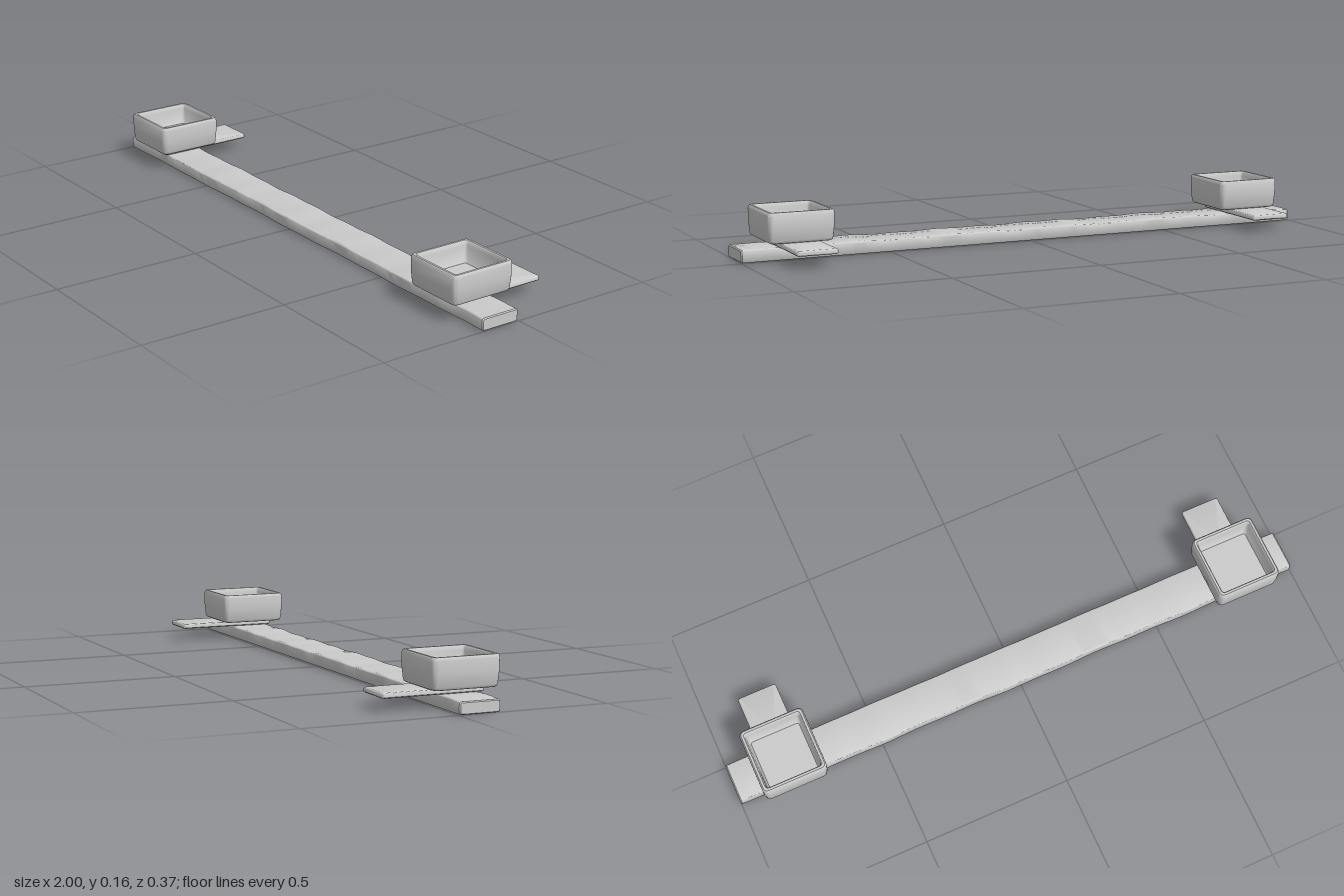
import * as THREE from 'three';
import { toCreasedNormals } from 'three/addons/utils/BufferGeometryUtils.js';

const material = new THREE.MeshStandardMaterial({ color: 0xcccccc });
const CORNER_STEPS = 4;

// Rounded-rectangle cross-section lying at height y.
function ring({ w, d, r, y, x = 0, z = 0 }) {
  const points = [];
  for (let c = 0; c < 4; c++) {
    const sx = c === 0 || c === 3 ? 1 : -1;
    const sz = c < 2 ? 1 : -1;
    for (let i = 0; i <= CORNER_STEPS; i++) {
      const a = (c + i / CORNER_STEPS) * Math.PI / 2;
      points.push([
        x + sx * (w / 2 - r) + r * Math.cos(a), y,
        z + sz * (d / 2 - r) + r * Math.sin(a),
      ]);
    }
  }
  return points;
}

// Skin over a stack of cross-sections; the first and last are closed to a centre.
function loft(sections, crease = 0.6) {
  const cap = (s) => ({ ...s, w: 0.0004, d: 0.0004, r: 0.0001 });
  const rings = [cap(sections[0]), ...sections, cap(sections.at(-1))].map(ring);
  const n = rings[0].length;
  const index = [];
  for (let k = 0; k < rings.length - 1; k++) {
    for (let i = 0; i < n; i++) {
      const a = k * n + i, b = k * n + (i + 1) % n;
      index.push(a, a + n, b, b, a + n, b + n);
    }
  }
  const geometry = new THREE.BufferGeometry();
  geometry.setAttribute('position', new THREE.Float32BufferAttribute(rings.flat(2), 3));
  geometry.setIndex(index);
  return toCreasedNormals(geometry, crease);
}

function part(name, geometry) {
  const mesh = new THREE.Mesh(geometry, material);
  mesh.name = name;
  return mesh;
}

// Long plank with gently uneven, worn edges, lofted along its length.
function plankGeometry() {
  const sections = [];
  const steps = 90;
  const section = (t, inset) => {
    const wear = 0.0012 * Math.sin(t * 17) + 0.001 * Math.sin(t * 41 + 1);
    const edge = 0.0015 * Math.sin(t * 11 + 2) + 0.001 * Math.sin(t * 29);
    return {
      w: 0.041 + wear - inset, d: 0.135 + edge - inset, r: 0.007,
      y: t, x: 0.0225 + wear / 2, z: 0.071 + edge / 2,
    };
  };
  sections.push(section(-1, 0.006));
  for (let i = 0; i <= steps; i++) sections.push(section(-0.996 + 1.992 * i / steps, 0));
  sections.push(section(1, 0.006));
  return loft(sections).rotateZ(Math.PI / 2);
}

// Flat tongue running under the tray and out behind the plank.
function tongueGeometry() {
  const s = (y, inset) => ({ w: 0.134 - inset, d: 0.335 - inset, r: 0.006, y, z: -0.0175 });
  return loft([s(0.044, 0.008), s(0.047, 0.001), s(0.05, 0), s(0.056, 0), s(0.059, 0.003), s(0.061, 0.01)], 0.9);
}

// Open square tray: up the outside, over the rim, down the inside to the floor.
function trayGeometry() {
  const s = (w, y, r) => ({ w, d: w + 0.005, r, y, z: 0.0705 });
  return loft([
    s(0.196, 0.061, 0.012), s(0.208, 0.064, 0.014), s(0.214, 0.071, 0.016),
    s(0.22, 0.11, 0.016), s(0.221, 0.15, 0.016), s(0.218, 0.157, 0.015),
    s(0.211, 0.161, 0.013), s(0.196, 0.161, 0.01), s(0.19, 0.157, 0.01),
    s(0.186, 0.145, 0.01), s(0.176, 0.098, 0.01), s(0.168, 0.092, 0.008),
  ], 0.75);
}

export function createModel() {
  const model = new THREE.Group();
  model.name = 'shelfWithTrays';
  model.add(part('plank', plankGeometry()));

  // One tray and tongue near each end.
  for (const side of [-1, 1]) {
    const holder = new THREE.Group();
    holder.name = side > 0 ? 'leftHolder' : 'rightHolder';
    holder.position.x = side * 0.812;
    holder.add(part('tongue', tongueGeometry()), part('tray', trayGeometry()));
    model.add(holder);
  }
  return model;
}
